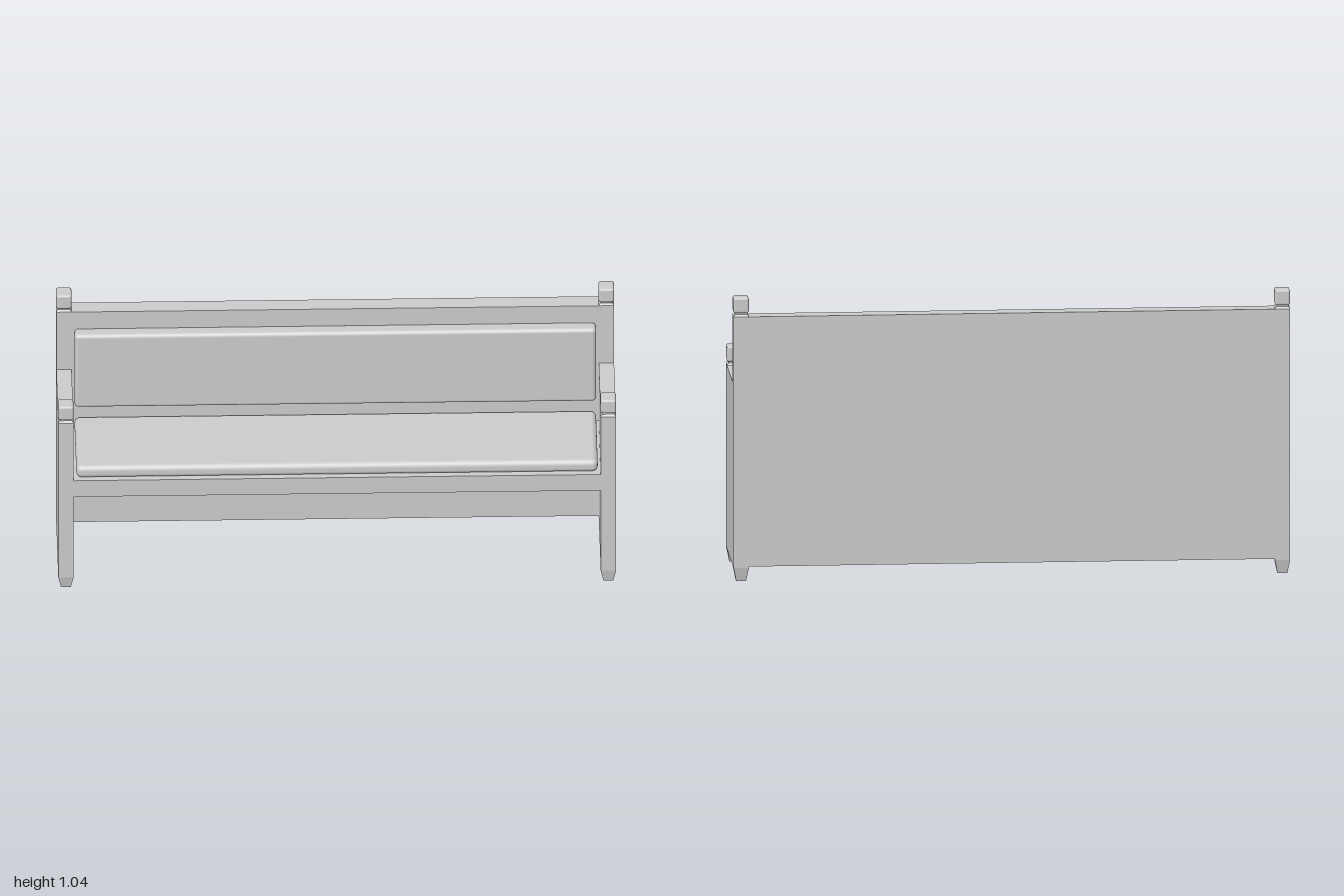
import * as THREE from 'three';
import { RoundedBoxGeometry } from 'three/addons/geometries/RoundedBoxGeometry.js';

const flat = new THREE.MeshStandardMaterial({ color: 0xcccccc, flatShading: true });
const smooth = new THREE.MeshStandardMaterial({ color: 0xcccccc });

const W = 0.055; // post width in x
const D = 0.06; // post depth in z

function add(parent, name, geometry, material, x, y, z) {
  const mesh = new THREE.Mesh(geometry, material);
  mesh.name = name;
  mesh.position.set(x, y, z);
  parent.add(mesh);
  return mesh;
}

// Box given by its limits on each axis
function box(parent, name, [x0, x1], [y0, y1], [z0, z1], radius = 0, segments = 4) {
  const size = [x1 - x0, y1 - y0, z1 - z0];
  const geometry = radius
    ? new RoundedBoxGeometry(...size, segments, radius)
    : new THREE.BoxGeometry(...size);
  return add(parent, name, geometry, radius ? smooth : flat, (x0 + x1) / 2, (y0 + y1) / 2, (z0 + z1) / 2);
}

// Four-sided tapered block with post proportions; scales are relative to the post
function taper(parent, name, x, z, y0, y1, bottom, top) {
  const geometry = new THREE.CylinderGeometry(top * Math.SQRT1_2, bottom * Math.SQRT1_2, y1 - y0, 4);
  geometry.rotateY(Math.PI / 4);
  geometry.scale(W, 1, D);
  return add(parent, name, geometry, flat, x, (y0 + y1) / 2, z);
}

// Foot, neck and rounded cap of one corner post
function postEnds(parent, x, z, top) {
  taper(parent, 'foot', x, z, 0, 0.05, 0.64, 1);
  taper(parent, 'postShoulder', x, z, top, top + 0.008, 1, 0.8);
  taper(parent, 'neck', x, z, top + 0.008, top + 0.02, 0.8, 0.8);
  box(parent, 'cap', [x - W / 2, x + W / 2], [top + 0.013, top + 0.07], [z - D / 2, z + D / 2], 0.008, 2);
}

export function createModel() {
  const bench = new THREE.Group();
  bench.name = 'bench';

  // Sides: one L-shaped panel each, with posts at both ends
  const profile = new THREE.Shape(
    [[-0.2, 0.05], [0.2, 0.05], [0.2, 0.72], [-0.14, 0.72], [-0.14, 0.97], [-0.2, 0.97]]
      .map(([z, y]) => new THREE.Vector2(-z, y))
  );
  for (const side of [-1, 1]) {
    const end = new THREE.Group();
    end.name = side > 0 ? 'leftEnd' : 'rightEnd';
    const panel = new THREE.ExtrudeGeometry(profile, { depth: W, bevelEnabled: false });
    panel.rotateY(Math.PI / 2);
    add(end, 'sidePanel', panel, flat, side > 0 ? 1 - W : -1, 0, 0);
    const x = side * (1 - W / 2);
    postEnds(end, x, 0.2 - D / 2, 0.72);
    postEnds(end, x, -0.2 + D / 2, 0.97);
    bench.add(end);
  }

  // Back and seat boards between the sides
  const span = [-1 + W, 1 - W];
  box(bench, 'backPanel', span, [0.055, 0.97], [-0.2, -0.14]);
  box(bench, 'seatBoard', span, [0.4, 0.47], [-0.14, 0.2]);

  // Cushions
  box(bench, 'seatCushion', [-0.935, 0.935], [0.47, 0.52], [-0.14, 0.19], 0.02);
  box(bench, 'backCushion', [-0.935, 0.935], [0.585, 0.9], [-0.145, -0.09], 0.015);

  return bench;
}
